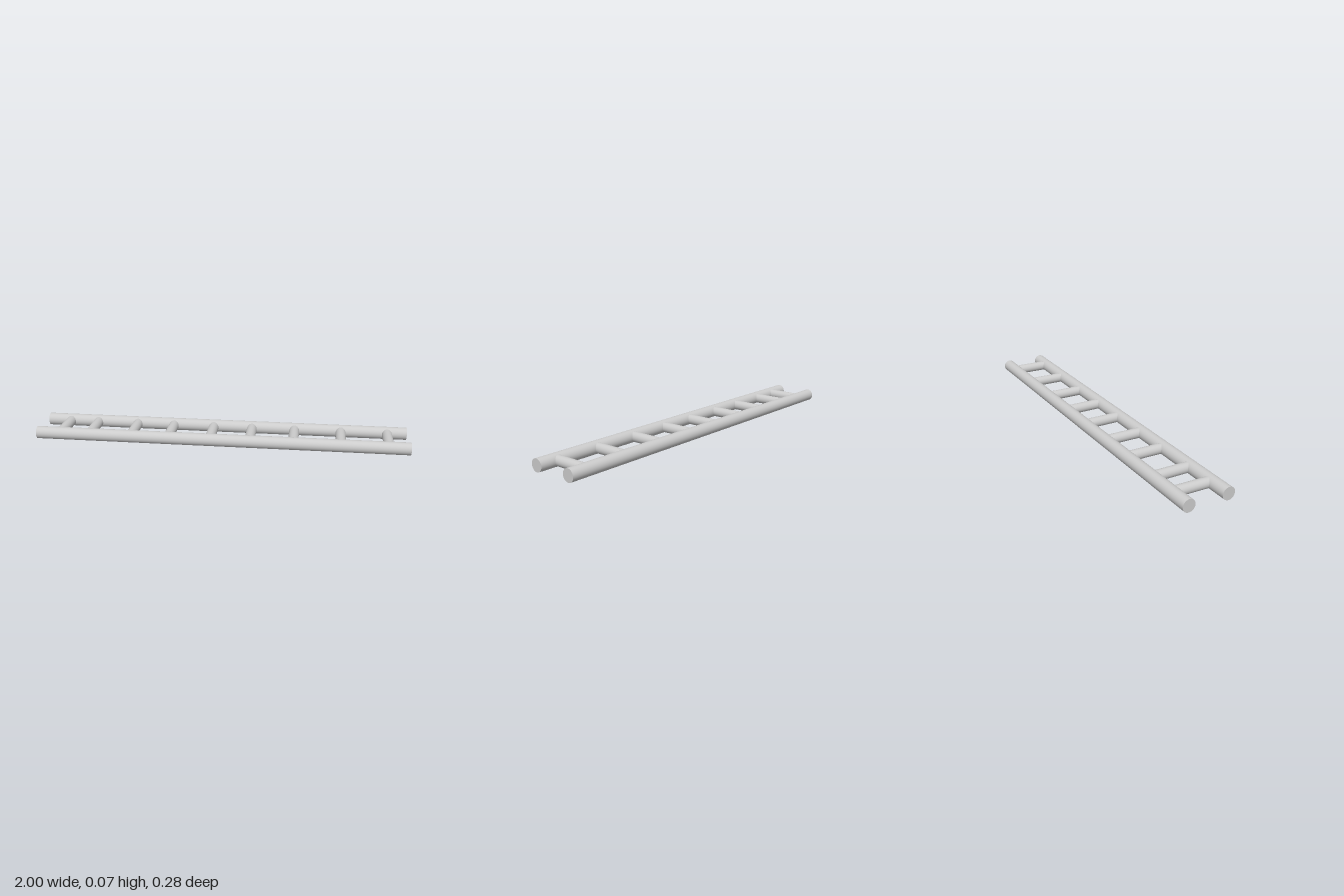
import * as THREE from 'three';

const RAIL_RADIUS = 0.0335;
const RAIL_Z = 0.107;
const RUNG_RADIUS = 0.027;

// Rung position along the rails and its slight skew about y
const RUNGS = [
  [-0.872, -0.02], [-0.711, 0], [-0.484, -0.01], [-0.278, -0.01], [-0.053, 0],
  [0.16, 0], [0.393, -0.01], [0.644, -0.02], [0.893, -0.02],
];

export function createModel() {
  const ladder = new THREE.Group();
  ladder.name = 'ladder';
  const material = new THREE.MeshStandardMaterial({ color: 0xcccccc });

  // Two long round rails lying along x
  const railGeometry = new THREE.CylinderGeometry(RAIL_RADIUS, RAIL_RADIUS, 2, 48).rotateZ(Math.PI / 2);
  for (const side of [1, -1]) {
    const rail = new THREE.Mesh(railGeometry, material);
    rail.name = side > 0 ? 'frontRail' : 'backRail';
    rail.position.set(0, RAIL_RADIUS, side * RAIL_Z);
    ladder.add(rail);
  }

  // Unevenly spaced rungs, ending inside the rails
  const rungGeometry = new THREE.CylinderGeometry(RUNG_RADIUS, RUNG_RADIUS, 2 * RAIL_Z, 40).rotateX(Math.PI / 2);
  RUNGS.forEach(([x, skew], i) => {
    const rung = new THREE.Mesh(rungGeometry, material);
    rung.name = `rung${i + 1}`;
    rung.position.set(x, RAIL_RADIUS + 0.001, 0);
    rung.rotation.y = skew;
    ladder.add(rung);
  });

  return ladder;
}
